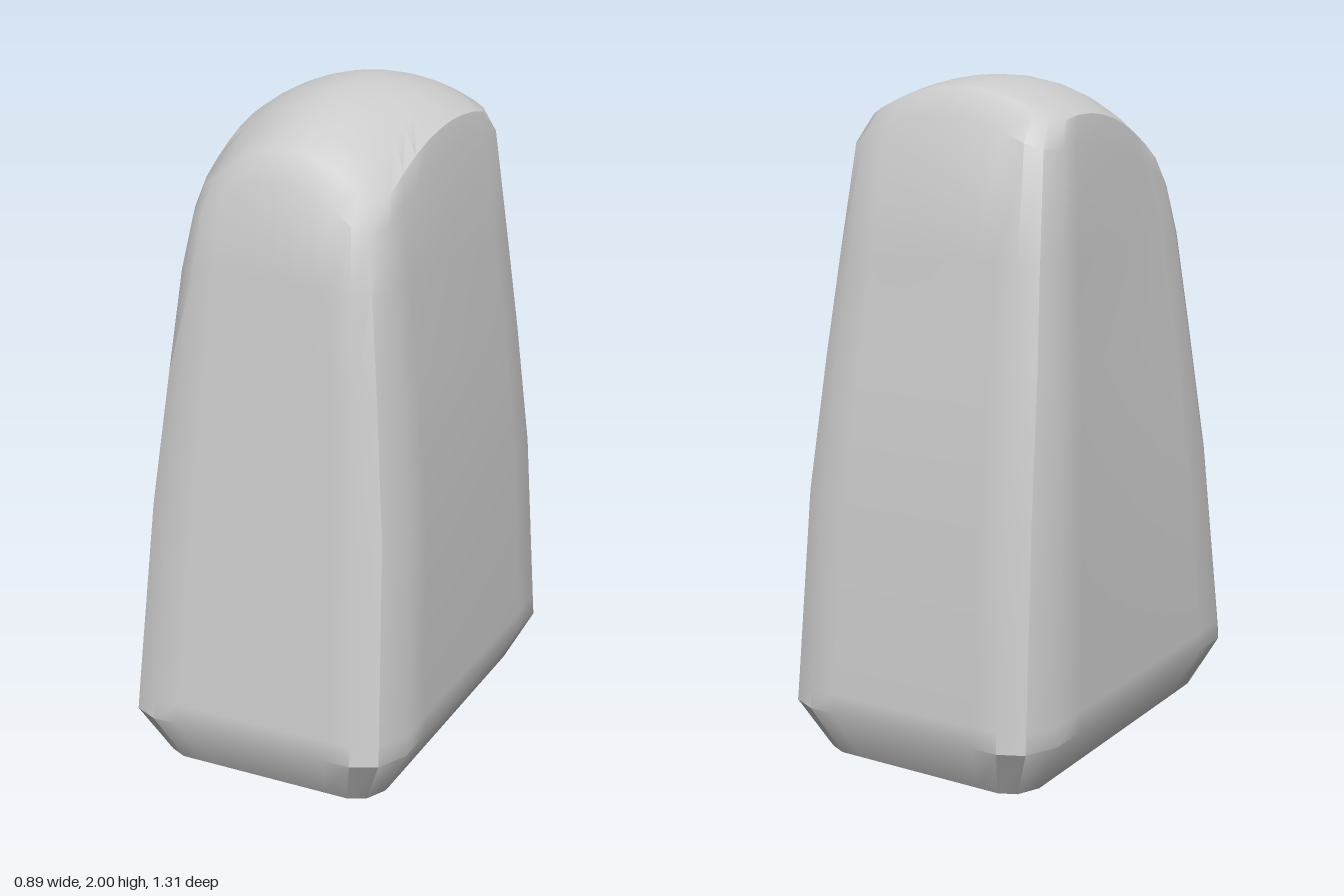
import * as THREE from 'three';
import { toCreasedNormals } from 'three/addons/utils/BufferGeometryUtils.js';

const SIDE = 8;          // divisions along each straight side
const PEAK_Z = -0.12;    // highest point of the domed top

// Dome height: falls off sideways, faster towards the front
const crown = (x, z) => 2 - 0.55 * (z - PEAK_Z) ** 2 - (1.2 + 1.2 * z + 2 * z * z) * x * x;

// Outline of a rectangle with two-step cut corners, narrowing towards the front,
// as [x, z], anticlockwise from above
function outline(hx, zFront, zBack, cut, narrowing) {
  const pts = [];
  const line = (x0, z0, x1, z1) => {
    for (let i = 0; i <= SIDE; i++) {
      const t = i / SIDE;
      pts.push([x0 + (x1 - x0) * t, z0 + (z1 - z0) * t]);
    }
  };
  const a = 0.12 * cut, b = 0.045 * cut, c = 0.035 * cut, d = 0.13 * cut;
  line(-hx + a, zFront, hx - a, zFront);
  pts.push([hx - b, zFront - c]);
  line(hx, zFront - d, hx, zBack + d);
  pts.push([hx - b, zBack + c]);
  line(hx - a, zBack, -hx + a, zBack);
  pts.push([-hx + b, zBack + c]);
  line(-hx, zBack + d, -hx, zFront - d);
  pts.push([-hx + b, zFront - c]);
  return pts.map(([x, z]) => [x * (1 - narrowing * (z - zBack)), z]);
}

function bodyGeometry() {
  // Tapering walls: y, half width, front z, back z, corner cut, narrowing
  const rings = [
    [0, 0.36, 0.57, -0.57, 0.7, 0],
    [0.16, 0.445, 0.655, -0.655, 1, 0],
    [0.22, 0.443, 0.647, -0.649, 1, 0],
    [0.8, 0.424, 0.573, -0.592, 0.95, 0.025],
    [1.2, 0.398, 0.522, -0.523, 0.85, 0.08],
    [1.5, 0.372, 0.485, -0.47, 0.75, 0.13],
  ].map(([y, ...r]) => outline(...r).map(([x, z]) => [x, y, z]));

  // Rim of the dome with the shoulder below it
  const rim = outline(0.322, 0.395, -0.345, 0.55, 0.155);
  const shoulder = outline(0.345, 0.45, -0.412, 0.65, 0.155);
  rings.push(shoulder.map(([x, z], i) => [x, crown(...rim[i]) - 0.08, z]));

  // Dome: the rim shrinks towards the peak
  for (const s of [1, 0.8, 0.6, 0.4, 0.2]) {
    rings.push(rim.map(([rx, rz]) => {
      const x = rx * s, z = PEAK_Z + (rz - PEAK_Z) * s;
      return [x, crown(x, z), z];
    }));
  }

  // Stitch neighbouring rings, then close the base and the peak
  const n = rim.length, index = [];
  const pos = rings.flat(2);
  const base = rings.length * n, peak = base + 1, last = base - n;
  pos.push(0, 0, 0, 0, 2, PEAK_Z);
  for (let j = 0; j < n; j++) {
    const k = (j + 1) % n;
    for (let lo = 0; lo < last; lo += n) {
      const hi = lo + n;
      index.push(lo + j, lo + k, hi + k, lo + j, hi + k, hi + j);
    }
    index.push(base, k, j, last + j, last + k, peak);
  }
  const g = new THREE.BufferGeometry();
  g.setAttribute('position', new THREE.Float32BufferAttribute(pos, 3));
  g.setIndex(index);
  return toCreasedNormals(g, 0.65);
}

export function createModel() {
  const group = new THREE.Group();
  const body = new THREE.Mesh(bodyGeometry(), new THREE.MeshStandardMaterial({ color: 0xcccccc }));
  body.name = 'taperedBlock';
  group.add(body);
  return group;
}
